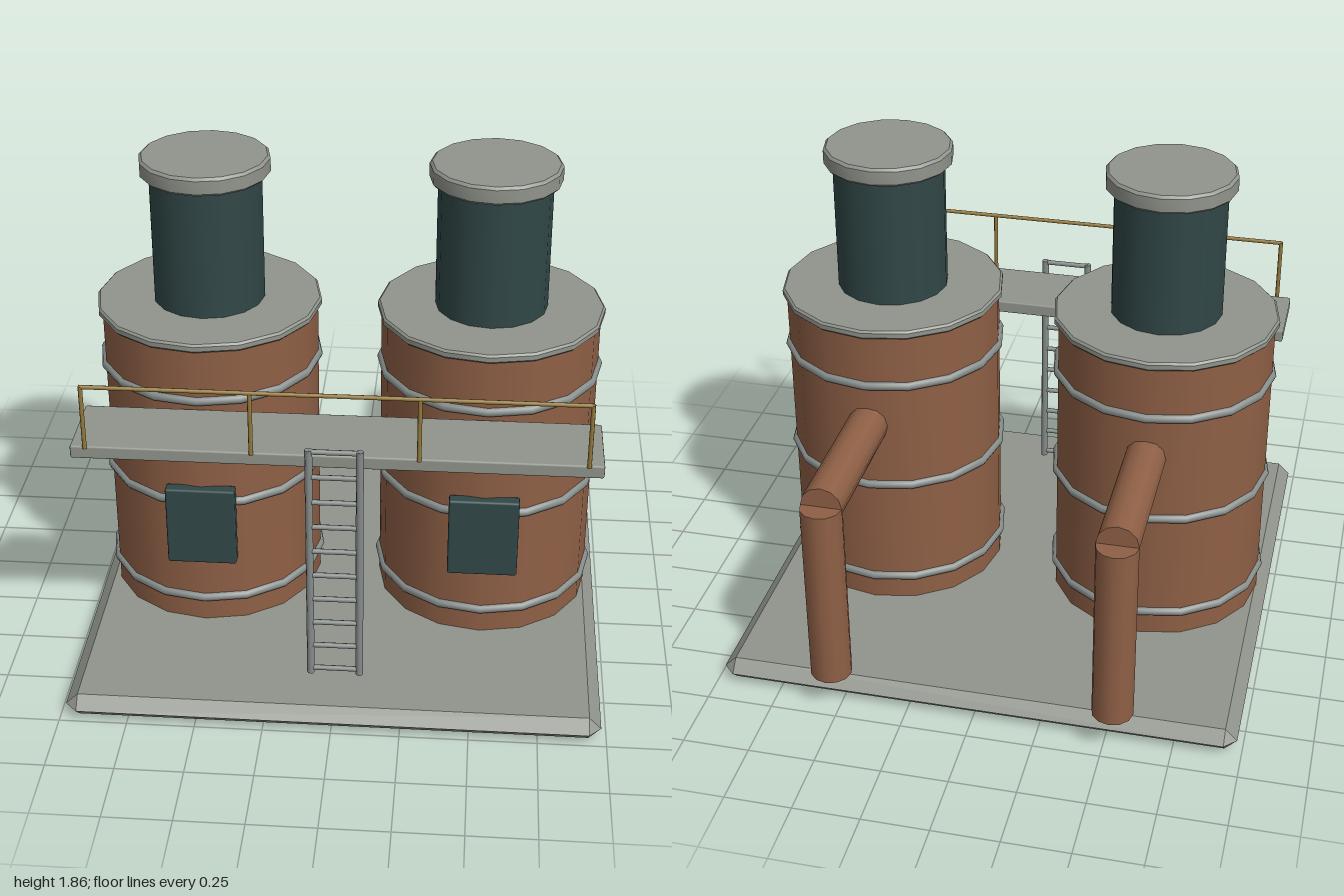
import * as THREE from 'three';
import { toCreasedNormals } from 'three/addons/utils/BufferGeometryUtils.js';
import { ConvexGeometry } from 'three/addons/geometries/ConvexGeometry.js';
import { RoundedBoxGeometry } from 'three/addons/geometries/RoundedBoxGeometry.js';

const material = (name, color) => {
  const m = new THREE.MeshStandardMaterial({ color });
  m.name = name;
  return m;
};

export function createModel() {
  const copper = material('copper brown', 0x8f6046);
  const concrete = material('concrete grey', 0x91948c);
  const steel = material('steel grey', 0x878e8c);
  const dark = material('dark teal', 0x314747);
  const brass = material('brass', 0x957a3c);

  const model = new THREE.Group();
  model.name = 'twinTankPlant';

  const add = (parent, name, geometry, mat, x = 0, y = 0, z = 0) => {
    const mesh = new THREE.Mesh(geometry, mat);
    mesh.name = name;
    mesh.position.set(x, y, z);
    parent.add(mesh);
    return mesh;
  };
  const group = (name, x = 0, y = 0, z = 0) => {
    const g = new THREE.Group();
    g.name = name;
    g.position.set(x, y, z);
    model.add(g);
    return g;
  };
  const cylinder = (r, h, sides) => new THREE.CylinderGeometry(r, r, h, sides);
  // Disc with a small chamfer on both rims
  const disc = (r, h, bevel) => toCreasedNormals(new THREE.LatheGeometry([
    [0, -h / 2], [r - bevel, -h / 2], [r, -h / 2 + bevel],
    [r, h / 2 - bevel], [r - bevel, h / 2], [0, h / 2],
  ].map(([a, b]) => new THREE.Vector2(a, b)), 16), 0.7);

  // Base slab: widest at mid height, chamfered at edges and corners
  const hx = 0.98, hz = 0.952, c = 0.045;
  const points = [];
  for (const sx of [-1, 1]) for (const sz of [-1, 1]) {
    for (const y of [0, 2 * c]) points.push(new THREE.Vector3(sx * (hx - c), y, sz * (hz - c)));
    points.push(new THREE.Vector3(sx * hx, c, sz * (hz - c)));
    points.push(new THREE.Vector3(sx * (hx - c), c, sz * hz));
  }
  add(model, 'baseSlab', new ConvexGeometry(points), concrete, 0, 0, 0.048);

  // Two tanks with stack, hoops, hatch and outlet pipe
  for (const side of [-1, 1]) {
    const tank = group(side < 0 ? 'rightTank' : 'leftTank', side * 0.53, 0, 0.045);
    add(tank, 'tankBody', cylinder(0.41, 1.2, 16), copper, 0, 0.68);
    add(tank, 'tankLid', disc(0.425, 0.034, 0.008), concrete, 0, 1.278);
    for (const y of [0.19, 0.62, 1.057]) {
      const hoop = new THREE.TorusGeometry(0.408, 0.018, 8, 16).rotateX(Math.PI / 2);
      add(tank, 'tankHoop', hoop, steel, 0, y);
    }
    add(tank, 'stack', cylinder(0.21, 0.54, 16), dark, 0, 1.54);
    add(tank, 'stackCap', disc(0.242, 0.07, 0.01), concrete, 0, 1.825);
    add(tank, 'hatch', new RoundedBoxGeometry(0.262, 0.322, 0.05, 1, 0.008), dark, 0, 0.53, 0.415);

    const across = cylinder(0.077, 0.57, 12).rotateX(Math.PI / 2);
    add(tank, 'outletPipe', across, copper, 0, 0.882, -0.683);
    add(tank, 'downPipe', cylinder(0.077, 0.73, 12), copper, 0, 0.517, -0.968);
  }

  // Walkway across the front
  add(model, 'walkway', new RoundedBoxGeometry(1.88, 0.05, 0.295, 1, 0.007), concrete, 0, 1.002, 0.603);

  // Guard rail
  const guard = group('guardRail', 0, 0, 0.75);
  add(guard, 'handRail', cylinder(0.008, 1.78, 8).rotateZ(Math.PI / 2), brass, 0, 1.267);
  for (let i = 0; i < 4; i++) {
    add(guard, 'railPost', cylinder(0.008, 0.25, 8), brass, -0.885 + i * 0.59, 1.145);
  }

  // Ladder
  const ladder = group('ladder', 0, 0, 0.78);
  for (const x of [-0.09, 0.09]) add(ladder, 'ladderRail', cylinder(0.014, 0.96, 8), steel, x, 0.587);
  for (let i = 0; i < 10; i++) {
    add(ladder, 'ladderRung', cylinder(0.01, 0.18, 8).rotateZ(Math.PI / 2), steel, 0, 0.128 + i * 0.1035);
  }

  return model;
}
